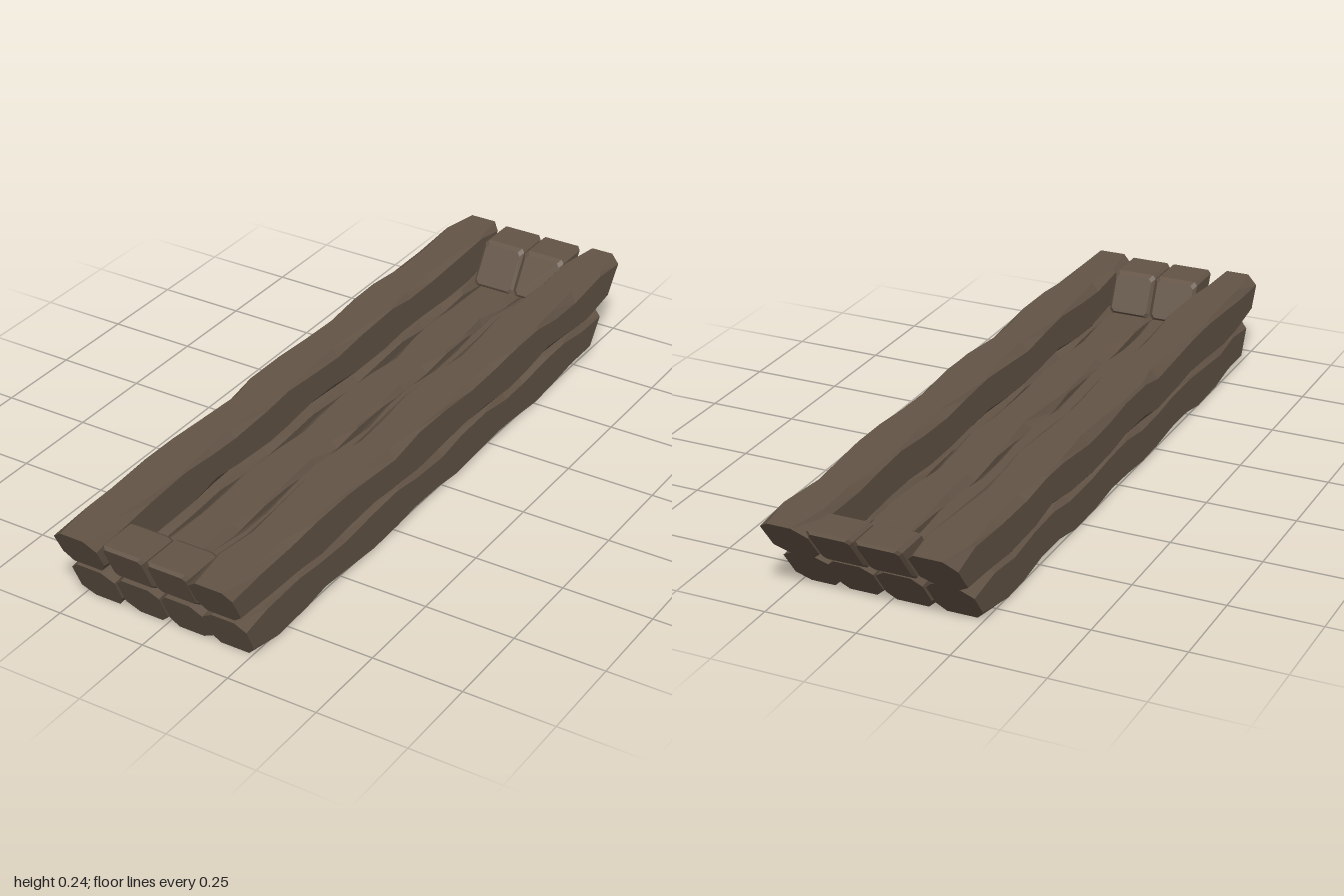
import * as THREE from 'three';

// small seeded generator for the hewn edges
function seeded(seed) {
  let s = seed * 7919 + 17;
  return () => {
    s = (s * 16807) % 2147483647;
    return s / 2147483647;
  };
}

// Loft of octagonal rings. box: x0,x1,y0,y1; ends: z at [back bottom, back top, front bottom, front top]
// rings: list of { t, cuts: 4 corner cuts [w,h], inset }
function loft({ x0, x1, y0, y1, ends }, rings) {
  const pos = [], idx = [];
  const [bb, bt, fb, ft] = ends;
  for (const { t, cuts, inset = 0 } of rings) {
    const l = x0 + inset, r = x1 - inset, b = y0 + inset, u = y1 - inset;
    const [p, q, s, v] = cuts;
    const outline = [
      [l + p[0], b], [r - q[0], b], [r, b + q[1]], [r, u - s[1]],
      [r - s[0], u], [l + v[0], u], [l, u - v[1]], [l, b + p[1]],
    ];
    for (const [x, y] of outline) {
      const k = (y - y0) / (y1 - y0);
      const back = bb + (bt - bb) * k, front = fb + (ft - fb) * k;
      pos.push(x, y, back + (front - back) * t);
    }
  }
  const last = (rings.length - 1) * 8;
  for (let i = 0; i < rings.length - 1; i++) {
    for (let j = 0; j < 8; j++) {
      const a = i * 8 + j, b = i * 8 + (j + 1) % 8;
      idx.push(a, b, b + 8, a, b + 8, a + 8);
    }
  }
  for (let j = 1; j < 7; j++) {
    idx.push(0, j + 1, j, last, last + j, last + j + 1);
  }
  const indexed = new THREE.BufferGeometry();
  indexed.setAttribute('position', new THREE.Float32BufferAttribute(pos, 3));
  indexed.setIndex(idx);
  const geo = indexed.toNonIndexed();
  geo.computeVertexNormals();
  return geo;
}

// long beam with unevenly hewn corners
function beamGeometry(box, seed) {
  const rnd = seeded(seed);
  rnd(); rnd();
  const rings = [], n = 16;
  for (let i = 0; i <= n; i++) {
    const end = i === 0 || i === n;
    const cuts = [0, 1, 2, 3].map((c) => {
      const wave = 0.5 + 0.5 * Math.cos((i / n) * Math.PI * 8 + c * 0.9 + seed);
      const size = end ? 0.026 : 0.004 + 0.018 * wave;
      return [size * (0.7 + 0.6 * rnd()), size * (0.7 + 0.6 * rnd())];
    });
    const jitter = end ? 0 : (rnd() - 0.5) * 0.02;
    rings.push({ t: i / n + jitter, cuts });
  }
  return loft(box, rings);
}

// short block with neat narrow bevels
function blockGeometry(box) {
  const cuts = Array(4).fill([0.009, 0.009]);
  return loft(box, [
    { t: 0, cuts, inset: 0.008 },
    { t: 0.08, cuts },
    { t: 0.92, cuts },
    { t: 1, cuts, inset: 0.008 },
  ]);
}

export function createModel() {
  const model = new THREE.Group();
  model.name = 'beamTrough';
  const wood = new THREE.MeshStandardMaterial({ color: 0x635446, flatShading: true });
  wood.name = 'darkWood';

  const add = (name, geometry) => {
    const mesh = new THREE.Mesh(geometry, wood);
    mesh.name = name;
    model.add(mesh);
  };

  // floor beams
  const floorEnds = [-0.81, -0.9, 0.89, 0.945];
  [[-0.255, -0.128], [-0.118, 0.008], [0.014, 0.138], [0.136, 0.261]].forEach(([x0, x1], i) => {
    add(`floorBeam${i + 1}`, beamGeometry({ x0, x1, y0: 0, y1: 0.12, ends: floorEnds }, i + 1));
  });

  // side beams on top
  const sideEnds = [-0.91, -1, 0.94, 1];
  [['rightSideBeam', -0.262, -0.137], ['leftSideBeam', 0.135, 0.261]].forEach(([name, x0, x1], i) => {
    add(name, beamGeometry({ x0, x1, y0: 0.125, y1: 0.242, ends: sideEnds }, i + 6));
  });

  // end blocks between the side beams
  [[-0.121, 0.007], [0.01, 0.136]].forEach(([x0, x1], i) => {
    const box = { x0, x1, y0: 0.125, y1: 0.242 };
    add(`frontBlock${i + 1}`, blockGeometry({ ...box, ends: [0.815, 0.865, 0.94, 0.995] }));
    add(`backBlock${i + 1}`, blockGeometry({ ...box, ends: [-0.91, -1, -0.81, -0.88] }));
  });

  return model;
}
